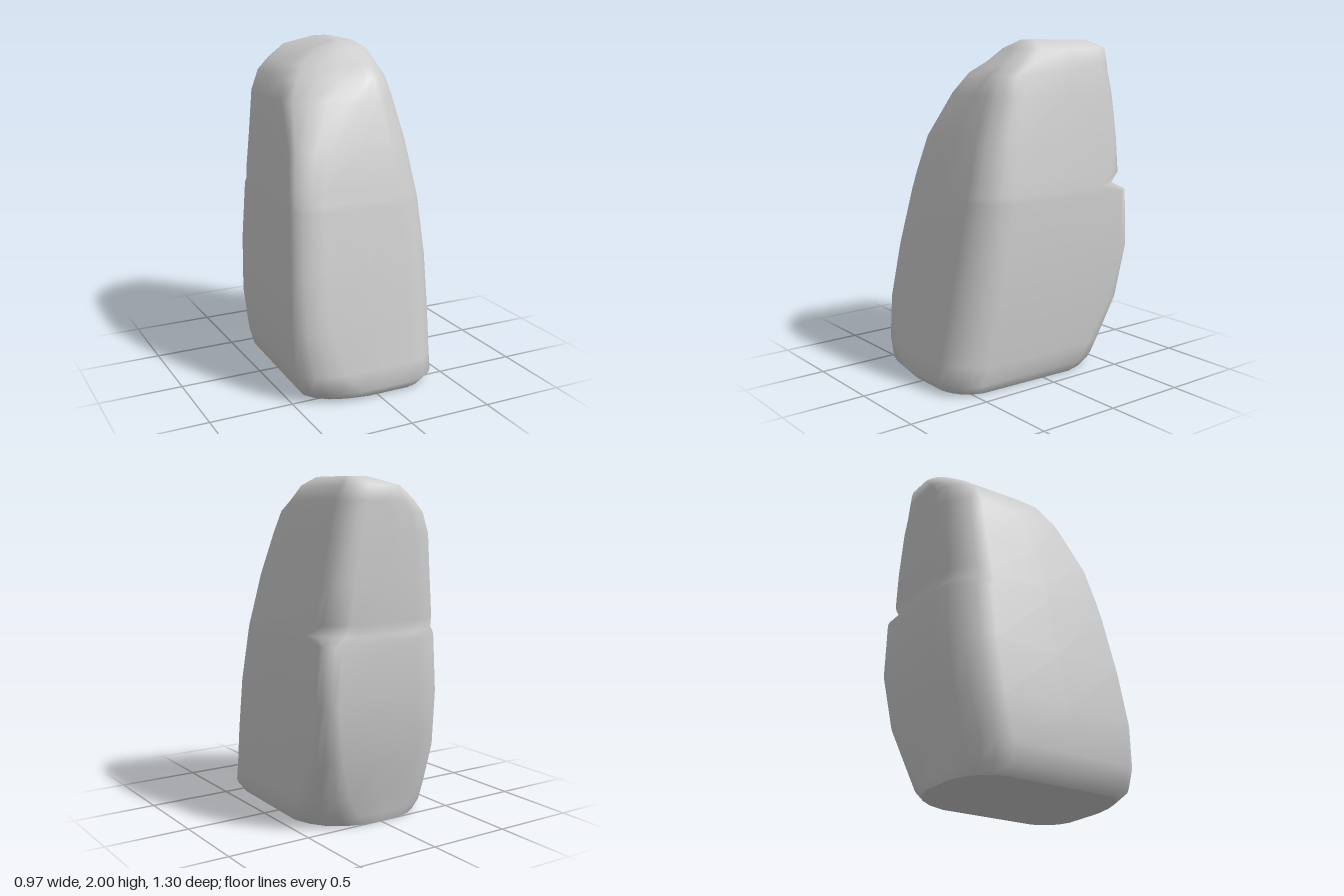
import * as THREE from 'three';

// Horizontal slices of the boulder, bottom to top:
// [y, xMin, xMax, zBack, zFront, cut of the back left corner, cut of the front right corner]
const SLICES = [
  [0.00, -0.40, 0.42, -0.50, 0.60, 0.30, 0.30],
  [0.06, -0.45, 0.46, -0.52, 0.65, 0.28, 0.29],
  [0.17, -0.48, 0.467, -0.535, 0.627, 0.22, 0.23],
  [0.42, -0.49, 0.48, -0.605, 0.58, 0.14, 0.17],
  [0.75, -0.47, 0.487, -0.648, 0.515, 0.09, 0.15],
  [1.09, -0.44, 0.47, -0.65, 0.44, 0.09, 0.15],
  [1.13, -0.435, 0.465, -0.625, 0.43, 0.22, 0.15],
  [1.20, -0.43, 0.455, -0.635, 0.41, 0.14, 0.15],
  [1.42, -0.40, 0.42, -0.64, 0.355, 0.13, 0.17],
  [1.68, -0.37, 0.375, -0.64, 0.255, 0.13, 0.31],
  [1.80, -0.32, 0.345, -0.635, 0.205, 0.13, 0.39],
  [1.87, -0.24, 0.33, -0.635, 0.10, 0.13, 0.34],
  [1.95, -0.12, 0.30, -0.63, 0.01, 0.11, 0.22],
  [2.00, 0.05, 0.22, -0.50, -0.07, 0.05, 0.06],
];
const ARC = 4;              // steps around each corner
const N = 4 * (ARC + 2);    // points per slice
const SKEW = 0.04;          // the front leans to -x, the back to +x

// One closed outline: four softened corners joined by straight edges
function outline([y, x0, x1, z0, z1, backLeft, frontRight]) {
  const w = x1 - x0;
  // [x, z, cut along x, cut along z]
  const corners = [
    [x1, z1, 0.22 * w, 0.2 * w],
    [x1, z0, 1.1 * backLeft, backLeft],
    [x0, z0, 0.29 * w, 0.25 * w],
    [x0, z1, 1.2 * frontRight, 0.6 * frontRight],
  ];
  const ends = corners.map(([x, z, cutX, cutZ], i) => {
    const alongX = [x + (x === x1 ? -cutX : cutX), z];
    const alongZ = [x, z + (z === z1 ? -cutZ : cutZ)];
    return i % 2 === 0 ? [alongX, alongZ] : [alongZ, alongX];
  });
  const flat = [];
  corners.forEach(([x, z], i) => {
    const [a, b] = ends[i], next = ends[(i + 1) % 4][0];
    // the control point is drawn inward so the corner stays chamfered
    const cx = x * 0.65 + (a[0] + b[0]) * 0.175;
    const cz = z * 0.65 + (a[1] + b[1]) * 0.175;
    for (let k = 0; k <= ARC; k++) {
      const t = k / ARC, s = 1 - t;
      flat.push([
        s * s * a[0] + 2 * s * t * cx + t * t * b[0],
        s * s * a[1] + 2 * s * t * cz + t * t * b[1],
      ]);
    }
    flat.push([(b[0] + next[0]) / 2, (b[1] + next[1]) / 2]);
  });
  // lean the sides, keeping the widest points at xMin and xMax
  return flat.map(([x, z]) => [x + SKEW * ((x1 - x) / w - (z - z0) / (z1 - z0)), y, z]);
}

function makeGeometry(points, index) {
  const geometry = new THREE.BufferGeometry();
  geometry.setAttribute('position', new THREE.Float32BufferAttribute(points.flat(), 3));
  geometry.setIndex(index);
  geometry.computeVertexNormals();
  return geometry;
}

export function createModel() {
  const group = new THREE.Group();
  group.name = 'boulder';
  const material = new THREE.MeshStandardMaterial({ color: 0xcccccc });

  // Weathered sides and crown, skinned through the slices
  const rings = SLICES.map(outline);
  const points = rings.flat();
  const index = [];
  for (let r = 0; r < rings.length - 1; r++) {
    for (let i = 0; i < N; i++) {
      const a = r * N + i, b = r * N + (i + 1) % N;
      index.push(a, b, b + N, a, b + N, a + N);
    }
  }
  const last = (rings.length - 1) * N;
  points.push([0.13, 2.0, -0.25]);
  for (let i = 0; i < N; i++) index.push(last + i, last + (i + 1) % N, points.length - 1);
  const body = new THREE.Mesh(makeGeometry(points, index), material);
  body.name = 'rockBody';
  group.add(body);

  // Flat underside
  const base = [...rings[0], [0, 0, 0.05]];
  const baseIndex = [];
  for (let i = 0; i < N; i++) baseIndex.push((i + 1) % N, i, N);
  const underside = new THREE.Mesh(makeGeometry(base, baseIndex), material);
  underside.name = 'underside';
  group.add(underside);

  return group;
}
